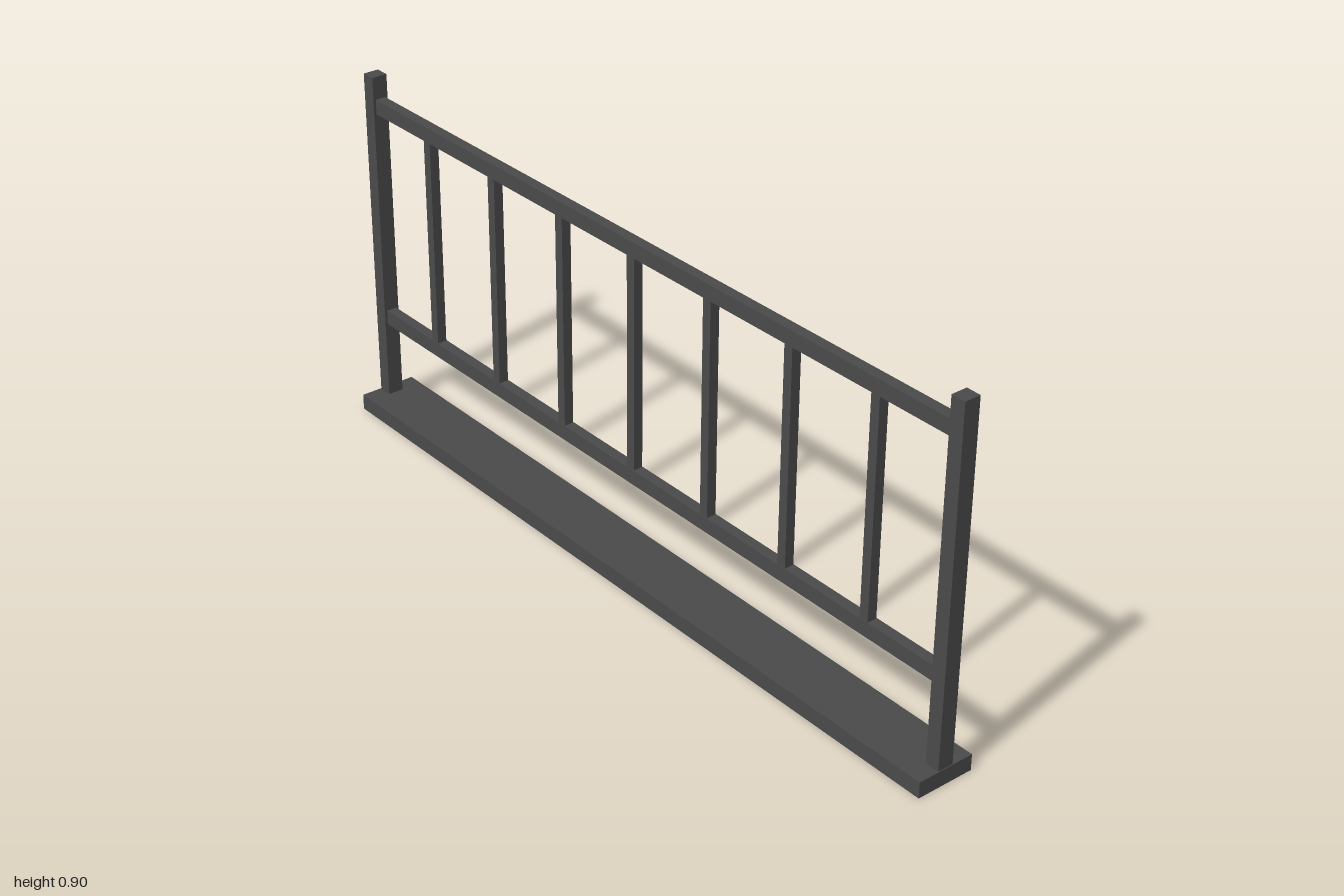
import * as THREE from 'three';

export function createModel() {
  const model = new THREE.Group();
  const darkMetal = new THREE.MeshStandardMaterial({ color: 0x4a4a4a });

  // Box placed by its centre z and its bottom and top heights
  const bar = (name, width, depth, bottom, top, z = 0) => {
    const mesh = new THREE.Mesh(new THREE.BoxGeometry(width, top - bottom, depth), darkMetal);
    mesh.name = name;
    mesh.position.set(0, (bottom + top) / 2, z);
    model.add(mesh);
  };

  // Ground plate
  bar('basePlate', 0.147, 2, 0, 0.04);

  // End posts
  bar('frontPost', 0.04, 0.036, 0.04, 0.896, 0.98);
  bar('backPost', 0.04, 0.036, 0.04, 0.896, -0.98);

  // Horizontal rails between the posts
  bar('lowerRail', 0.027, 1.926, 0.238, 0.275);
  bar('upperRail', 0.027, 1.926, 0.802, 0.839);

  // Seven evenly spaced balusters
  for (let i = -3; i <= 3; i++) {
    bar(`baluster${i + 4}`, 0.024, 0.024, 0.275, 0.802, i * 0.252);
  }

  return model;
}
